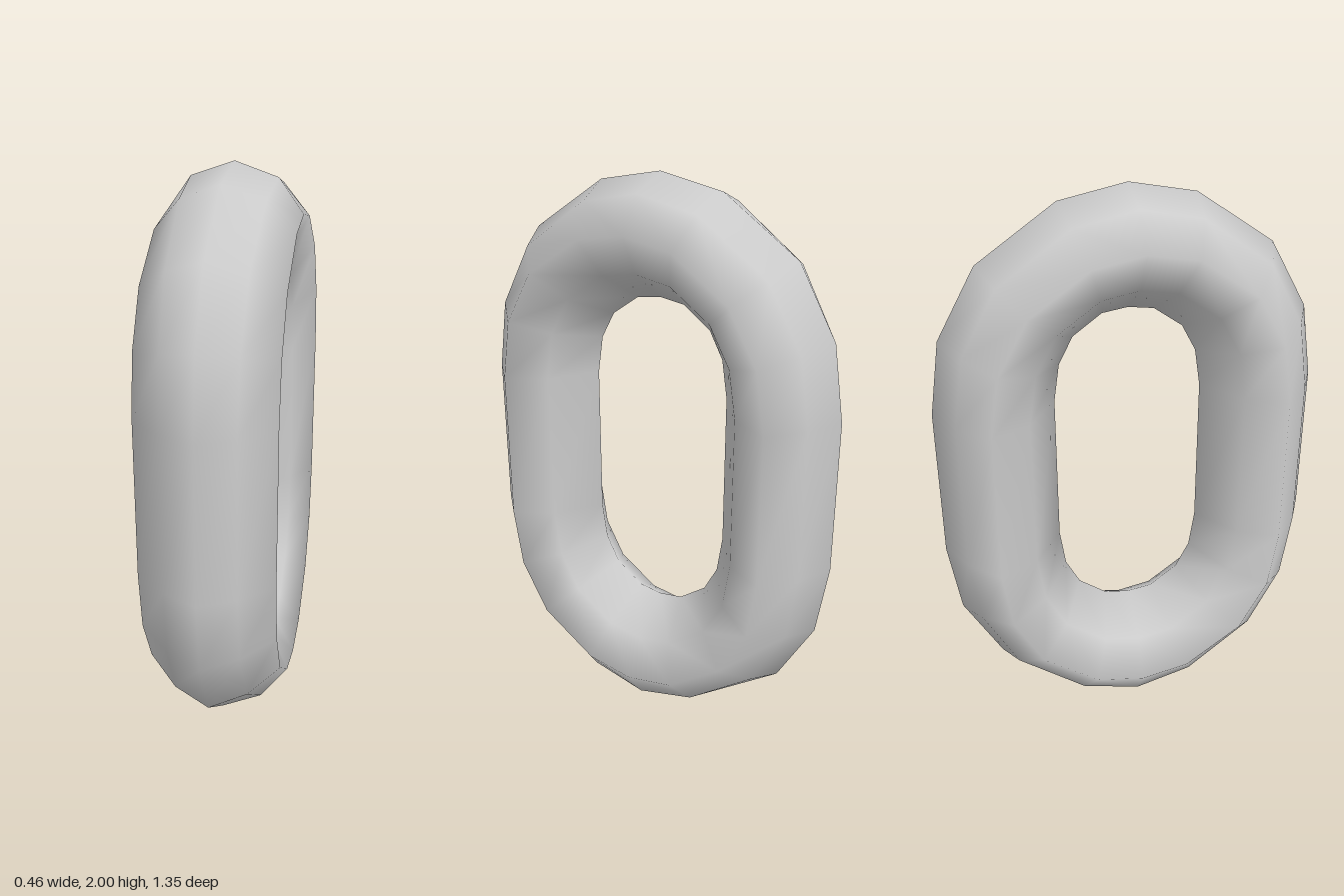
import * as THREE from 'three';

// Quarter of the link outline, top to side: [outer z, outer y, inner z, inner y], y from the link's centre
const QUARTER = [
  [0, 1.0, 0, 0.585],
  [0.23, 0.955, 0.09, 0.572],
  [0.5, 0.77, 0.19, 0.5],
  [0.635, 0.53, 0.24, 0.405],
  [0.675, 0.27, 0.26, 0.27],
];
const SIDES = 8;

// Eight-sided section [x, outward share -1..1], slightly more pointed on the straight sides
function section(side) {
  const mx = 0.146 - 0.026 * side;
  const mr = 0.76 - 0.07 * side;
  const half = [[0, 1], [mx, mr], [0.23, 0.2], [0.157, -0.46], [0, -1]];
  return [...half, ...half.slice(1, 4).reverse().map(([x, r]) => [-x, r])];
}

// Mirror the quarter into a full loop of rings
function linkRings() {
  const flip = (list, sz, sy) => list.map(([a, b, c, d]) => [a * sz, b * sy, c * sz, d * sy]);
  const back = [...QUARTER].reverse();
  return [
    ...QUARTER,
    ...flip(back, 1, -1),
    ...flip(QUARTER.slice(1), -1, -1),
    ...flip(back.slice(0, -1), -1, 1),
  ];
}

function linkGeometry() {
  const rings = linkRings();
  const positions = [];
  const indices = [];
  rings.forEach(([oz, oy, iz, iy], i) => {
    const side = Math.abs(oz) / 0.675;
    for (const [x, r] of section(side)) {
      const t = (r + 1) / 2;
      positions.push(x, 1 + iy + (oy - iy) * t, iz + (oz - iz) * t);
    }
    const next = (i + 1) % rings.length;
    for (let j = 0; j < SIDES; j++) {
      const k = (j + 1) % SIDES;
      const a = i * SIDES + j, b = i * SIDES + k;
      const c = next * SIDES + j, d = next * SIDES + k;
      indices.push(a, c, b, b, c, d);
    }
  });
  const geometry = new THREE.BufferGeometry();
  geometry.setAttribute('position', new THREE.Float32BufferAttribute(positions, 3));
  geometry.setIndex(indices);
  geometry.computeVertexNormals();
  return geometry;
}

export function createModel() {
  const group = new THREE.Group();
  group.name = 'chainLink';
  const link = new THREE.Mesh(linkGeometry(), new THREE.MeshStandardMaterial({ color: 0xcccccc }));
  link.name = 'link';
  group.add(link);
  return group;
}
